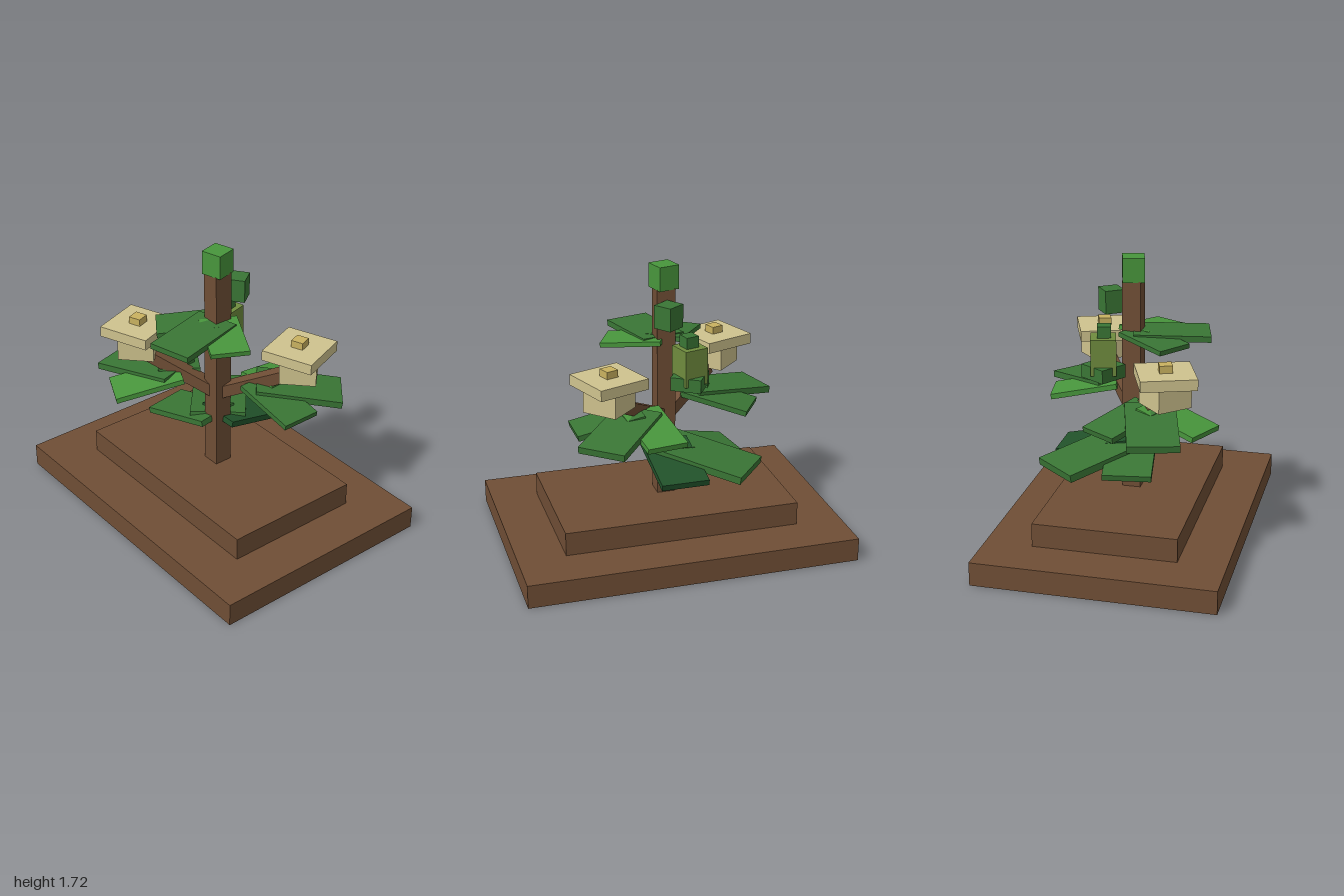
import * as THREE from 'three';

const mat = (name, color) => {
  const m = new THREE.MeshStandardMaterial({ color, flatShading: true });
  m.name = name;
  return m;
};
const rad = THREE.MathUtils.degToRad;

export function createModel() {
  const brown = mat('bark brown', 0x6f4e35);
  const green = mat('leaf green', 0x3a7635);
  const bright = mat('bright leaf green', 0x48963c);
  const dark = mat('dark leaf green', 0x21522a);
  const olive = mat('olive green', 0x6f8c3e);
  const cream = mat('blossom cream', 0xcfc38e);
  const gold = mat('pollen gold', 0xc9b260);

  const model = new THREE.Group();
  model.name = 'potTree';

  // Box standing on y0 and reaching y1, turned about its own axis
  const block = (name, m, w, d, y0, y1, x = 0, z = 0, turn = 0, parent = model) => {
    const mesh = new THREE.Mesh(new THREE.BoxGeometry(w, y1 - y0, d), m);
    mesh.name = name;
    mesh.position.set(x, (y0 + y1) / 2, z);
    mesh.rotation.y = rad(turn);
    parent.add(mesh);
    return mesh;
  };

  // Stepped base and trunk
  block('baseLower', brown, 2, 1.43, 0, 0.143);
  block('baseUpper', brown, 1.43, 0.86, 0.143, 0.286);
  block('trunk', brown, 0.112, 0.112, 0.286, 1.58);

  // Buds near the top
  block('topBud', bright, 0.13, 0.13, 1.575, 1.72, 0, 0, 15);
  block('sideBud', green, 0.122, 0.118, 1.375, 1.515, 0.01, -0.137, 36);

  // Unopened green pod behind the trunk
  const pod = new THREE.Group();
  pod.name = 'pod';
  pod.position.set(-0.115, 0, -0.155);
  model.add(pod);
  block('podCollar', green, 0.185, 0.185, 1.0, 1.082, 0, 0, -33, pod);
  block('podBody', olive, 0.152, 0.152, 1.03, 1.253, 0, 0, 15, pod);
  block('podTip', green, 0.082, 0.082, 1.25, 1.322, 0.005, 0.003, 15, pod);

  // Fan of three drooping leaves; y is the height of the top face at the root
  const fan = (name, x, y, z, heading, length, width, thick, droop, leftMat, rightMat) => {
    const group = new THREE.Group();
    group.name = name;
    group.position.set(x, y, z);
    [[0, 1, 0, green], [49, 0.8, 3.5, leftMat], [-49, 0.8, 3.5, rightMat]].forEach(
      ([swing, scale, extra, m]) => {
        const l = length * scale;
        const t = thick * scale;
        const geo = new THREE.BoxGeometry(width * (scale < 1 ? 0.85 : 1), t, l);
        geo.translate(0, -t / 2, l / 2);
        const leaf = new THREE.Mesh(geo, m);
        leaf.name = 'leaf';
        leaf.rotation.order = 'YXZ';
        leaf.rotation.set(rad(droop + extra), rad(heading + swing), 0);
        group.add(leaf);
      });
    model.add(group);
  };
  fan('lowerLeaves', 0, 0.62, 0, -130.5, 0.58, 0.34, 0.046, 8.5, green, dark);
  fan('backLeaves', 0.19, 0.893, -0.145, 139.5, 0.515, 0.29, 0.041, 7.5, bright, green);
  fan('frontLeaves', -0.19, 0.893, 0.145, -74.6, 0.525, 0.3, 0.041, 7.5, bright, green);
  fan('topLeaves', 0, 1.28, 0, 14, 0.455, 0.27, 0.036, 1.5, bright, green);

  // Two branches, each carrying a square blossom
  for (const s of [1, -1]) {
    const start = new THREE.Vector3(0, 0.775, 0);
    const end = new THREE.Vector3(0.345 * s, 0.965, -0.243 * s);
    const geo = new THREE.BoxGeometry(0.08, 0.075, start.distanceTo(end));
    const branch = new THREE.Mesh(geo, brown);
    branch.name = 'branch';
    branch.position.copy(start).add(end).multiplyScalar(0.5);
    branch.lookAt(end);
    model.add(branch);

    const blossom = new THREE.Group();
    blossom.name = 'blossom';
    blossom.position.set(0.407 * s, 0, -0.285 * s);
    model.add(blossom);
    block('blossomCup', cream, 0.217, 0.217, 0.966, 1.105, 0, 0, 44, blossom);
    block('blossomCap', cream, 0.324, 0.324, 1.105, 1.17, 0, 0, 20, blossom);
    block('blossomKnob', gold, 0.076, 0.076, 1.17, 1.214, 0, 0, 20, blossom);
  }

  return model;
}
